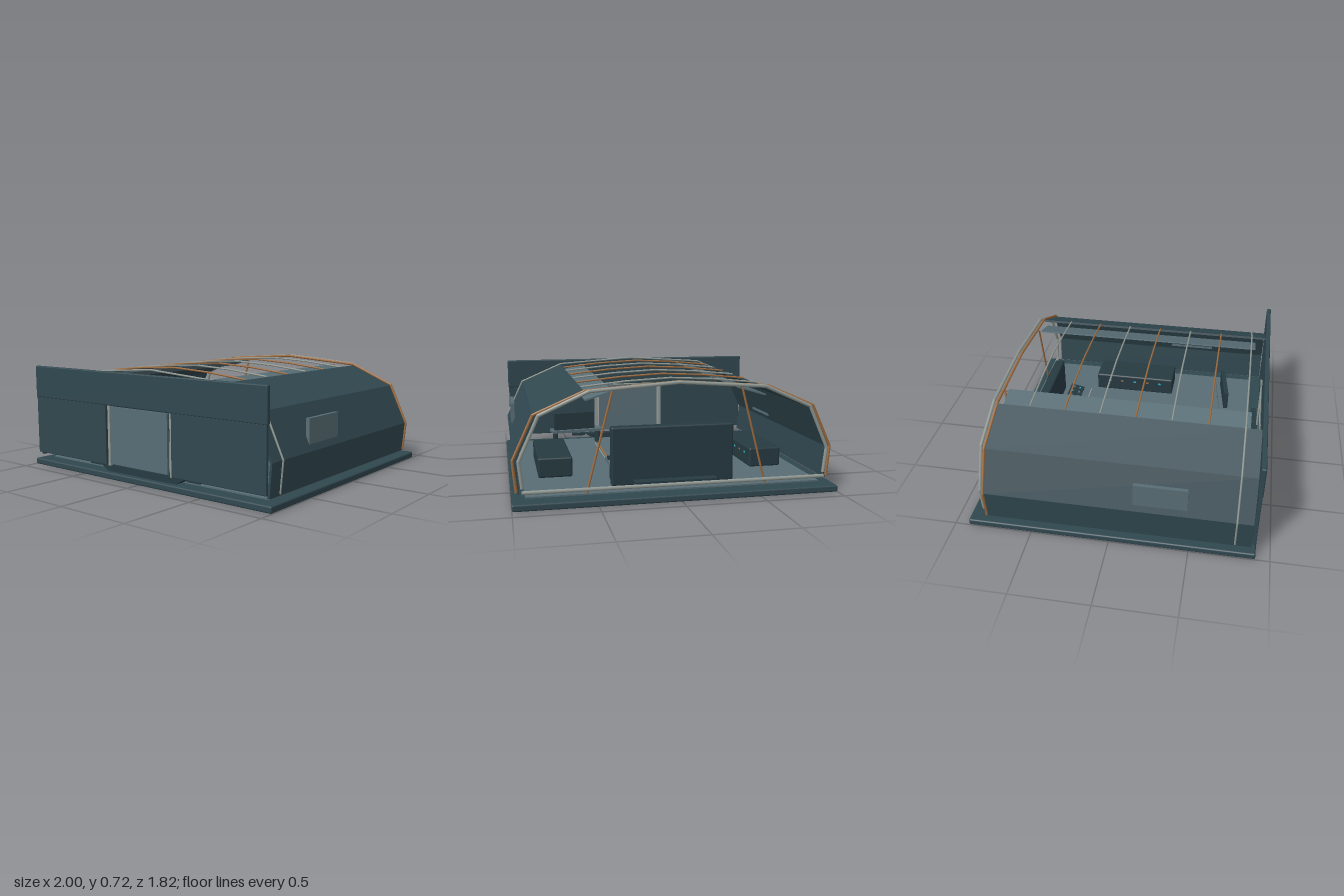
import * as THREE from 'three';
import { RoundedBoxGeometry } from 'three/addons/geometries/RoundedBoxGeometry.js';

const mat = (name, color) => {
  const m = new THREE.MeshStandardMaterial({ color });
  m.name = name;
  return m;
};

export function createModel() {
  const model = new THREE.Group();
  model.name = 'shelterModule';
  const hull = mat('hull teal', 0x30474f);
  const dark = mat('dark equipment', 0x263a41);
  const panel = mat('panel grey', 0x586d75);
  const metal = mat('light metal', 0x8f9792);
  const copper = mat('copper', 0x9c6b3f);
  const cyan = mat('cyan light', 0x2fb3c6);

  const add = (name, geometry, material, x = 0, y = 0, z = 0, parent = model) => {
    const mesh = new THREE.Mesh(geometry, material);
    mesh.name = name;
    mesh.position.set(x, y, z);
    parent.add(mesh);
    return mesh;
  };
  const box = (name, material, w, h, d, x, y, z, parent) =>
    add(name, new THREE.BoxGeometry(w, h, d), material, x, y, z, parent);
  const rounded = (name, material, w, h, d, x, y, z, r = 0.01) =>
    add(name, new RoundedBoxGeometry(w, h, d, 2, r), material, x, y, z);

  // Straight-segment bar through a list of points
  const bar = (name, material, points, radius) => {
    const path = new THREE.CurvePath();
    const v = points.map((p) => new THREE.Vector3(...p));
    for (let i = 1; i < v.length; i++) path.add(new THREE.LineCurve3(v[i - 1], v[i]));
    const group = new THREE.Group();
    group.name = name;
    path.curves.forEach((c) =>
      add(name + 'Segment', new THREE.TubeGeometry(c, 1, radius, 8), material, 0, 0, 0, group));
    v.slice(1, -1).forEach((p) =>
      add(name + 'Joint', new THREE.SphereGeometry(radius, 8, 6), material, p.x, p.y, p.z, group));
    model.add(group);
  };

  // Base slab and floor
  rounded('baseSlab', hull, 2, 0.042, 1.82, 0, 0.021, 0);
  box('floor', panel, 1.84, 0.01, 1.6, 0, 0.046, 0.01);

  // Folded side shells
  const side = [[0.968, 0.07], [0.985, 0.27], [0.86, 0.53], [0.56, 0.66]];
  const inner = [[0.555, 0.646], [0.848, 0.519], [0.969, 0.266], [0.952, 0.07]];
  for (const s of [1, -1]) {
    const outline = [...side, ...inner].map(([x, y]) => new THREE.Vector2(s * x, y));
    const shell = new THREE.ExtrudeGeometry(new THREE.Shape(outline), { depth: 1.67, bevelEnabled: false });
    add('sideShell', shell, hull, 0, 0, -0.79);
    // Inclined ceiling strip and outside hatch
    const strip = box('ceilingStrip', panel, 0.177, 0.01, 1.58, s * 0.475, 0.632, 0.02);
    strip.rotation.z = -s * 0.28;
    box('sideHatch', panel, 0.024, 0.16, 0.33, s * 0.955, 0.38, 0.315);
  }

  // Front wall with doorway
  for (const s of [1, -1]) {
    rounded('frontWall', hull, 0.685, 0.39, 0.022, s * 0.6225, 0.285, 0.896, 0.005);
    box('doorPost', metal, 0.02, 0.39, 0.02, s * 0.266, 0.28, 0.882);
  }
  rounded('frontHeader', hull, 1.94, 0.215, 0.03, 0, 0.5825, 0.895, 0.008);
  box('door', panel, 0.485, 0.37, 0.016, 0, 0.285, 0.89);
  bar('doorRail', metal, [[-0.27, 0.48, 0.872], [0.27, 0.48, 0.872]], 0.005);

  // Full hoops around the shell
  const hoop = (name, material, z, r, scale = 1, bottom = 0.08) => {
    const half = [[0.97, bottom], [0.988, 0.27], [0.865, 0.535], [0.56, 0.667]];
    const right = half.map(([x, y]) => [x * scale, y, z]);
    const left = half.map(([x, y]) => [-x * scale, y, z]).reverse();
    bar(name, material, [...right, [0, 0.706, z], ...left], r);
  };
  hoop('frontHoop', metal, 0.78, 0.006);
  hoop('rearHoop', copper, -0.792, 0.009);
  hoop('rearSealHoop', metal, -0.82, 0.011, 0.965, 0.11);
  bar('rearSill', metal, [[-0.94, 0.085, -0.82], [0.94, 0.085, -0.82]], 0.012);

  // Open roof ribs, alternating copper and metal
  for (let i = 0; i < 6; i++) {
    const z = 0.555 - i * 0.227;
    const points = [[-0.56, 0.662], [-0.28, 0.69], [0, 0.704], [0.28, 0.69], [0.56, 0.662]];
    bar('roofRib', i % 2 ? metal : copper, points.map(([x, y]) => [x, y, z]), 0.006);
  }

  // Rear struts
  for (const s of [1, -1])
    bar('rearStrut', copper, [[s * 0.56, 0.05, -0.79], [s * 0.4, 0.66, -0.79]], 0.007);

  // Command console
  rounded('consoleBack', dark, 0.78, 0.37, 0.07, 0, 0.235, -0.64, 0.012);
  box('consoleDesk', panel, 0.78, 0.02, 0.2, 0, 0.17, -0.505);
  box('deskBody', dark, 0.74, 0.11, 0.15, 0, 0.105, -0.53);
  box('consoleTrim', metal, 0.78, 0.008, 0.008, 0, 0.178, -0.404);
  const controls = new THREE.Group();
  controls.name = 'controlBoard';
  controls.position.set(0, 0.195, -0.51);
  controls.rotation.x = 0.2;
  model.add(controls);
  box('controlPanel', dark, 0.77, 0.025, 0.1, 0, 0, 0, controls);
  for (let i = 0; i < 14; i++) {
    const x = -0.36 + i * 0.055;
    const lit = i % 4 === 3 ? copper : cyan;
    box('indicator', lit, 0.014, 0.006, 0.01, x, 0.014, i % 2 ? 0.022 : -0.024, controls);
    box('key', panel, 0.022, 0.006, 0.012, x, 0.014, i % 2 ? -0.02 : 0.025, controls);
  }
  box('rearShelf', dark, 0.52, 0.03, 0.07, 0, 0.08, -0.735);

  // Centre pedestal
  rounded('pedestal', dark, 0.1, 0.12, 0.23, 0, 0.11, -0.285, 0.01);
  box('pedestalCopperStrip', copper, 0.008, 0.006, 0.2, -0.042, 0.171, -0.285);
  box('pedestalCyanStrip', cyan, 0.008, 0.006, 0.2, 0.042, 0.171, -0.285);

  // Floor ring with markers
  const ring = add('floorRing', new THREE.TorusGeometry(0.108, 0.01, 6, 12), dark, 0, 0.062, 0.25);
  ring.rotation.x = Math.PI / 2;
  for (let i = 0; i < 4; i++) {
    const a = (i * Math.PI) / 2;
    const marker = box('ringMarker', i % 2 ? copper : cyan, 0.014, 0.006, 0.014,
      Math.cos(a) * 0.1, 0.072, 0.25 + Math.sin(a) * 0.1);
    marker.rotation.y = Math.PI / 4;
  }

  // Floor guide lines
  box('floorLineCopper', copper, 0.012, 0.006, 1.1, -0.3, 0.053, 0.15);
  box('floorLineCyan', cyan, 0.006, 0.006, 1.0, -0.316, 0.053, 0.1);
  box('floorLineCopper', copper, 0.012, 0.006, 1.0, 0.3, 0.053, 0.1);
  box('floorLineMetal', metal, 0.006, 0.006, 1.0, 0.317, 0.053, 0.1);

  // Low equipment lockers along both walls
  for (const s of [1, -1]) {
    rounded('sideLocker', dark, 0.22, 0.13, 0.6, s * 0.71, 0.12, -0.1, 0.012);
    for (let i = 0; i < 5; i++)
      box('lockerLight', i % 2 ? copper : cyan, 0.006, 0.012, 0.02, s * 0.599, 0.14, -0.3 + i * 0.1);
    box('thresholdRail', dark, 0.1, 0.018, 0.04, s * 0.42, 0.08, 0.85);
  }

  // Entry threshold
  const ramp = new THREE.Shape([[-0.29, 0.045], [0.29, 0.045], [0.37, 0.088], [-0.37, 0.088]]
    .map(([x, y]) => new THREE.Vector2(x, y)));
  add('threshold', new THREE.ExtrudeGeometry(ramp, { depth: 0.07, bevelEnabled: false }), dark, 0, 0, 0.81);

  // Workbench with upright screen
  const bench = new THREE.Group();
  bench.name = 'workbench';
  bench.position.set(0.46, 0, 0.63);
  bench.rotation.y = 0.14;
  model.add(bench);
  box('benchTop', panel, 0.4, 0.02, 0.12, 0, 0.16, 0, bench);
  for (const s of [1, -1]) box('benchLeg', dark, 0.02, 0.1, 0.09, s * 0.17, 0.1, 0, bench);
  box('benchScreen', dark, 0.32, 0.13, 0.03, 0.02, 0.235, -0.015, bench);

  return model;
}
